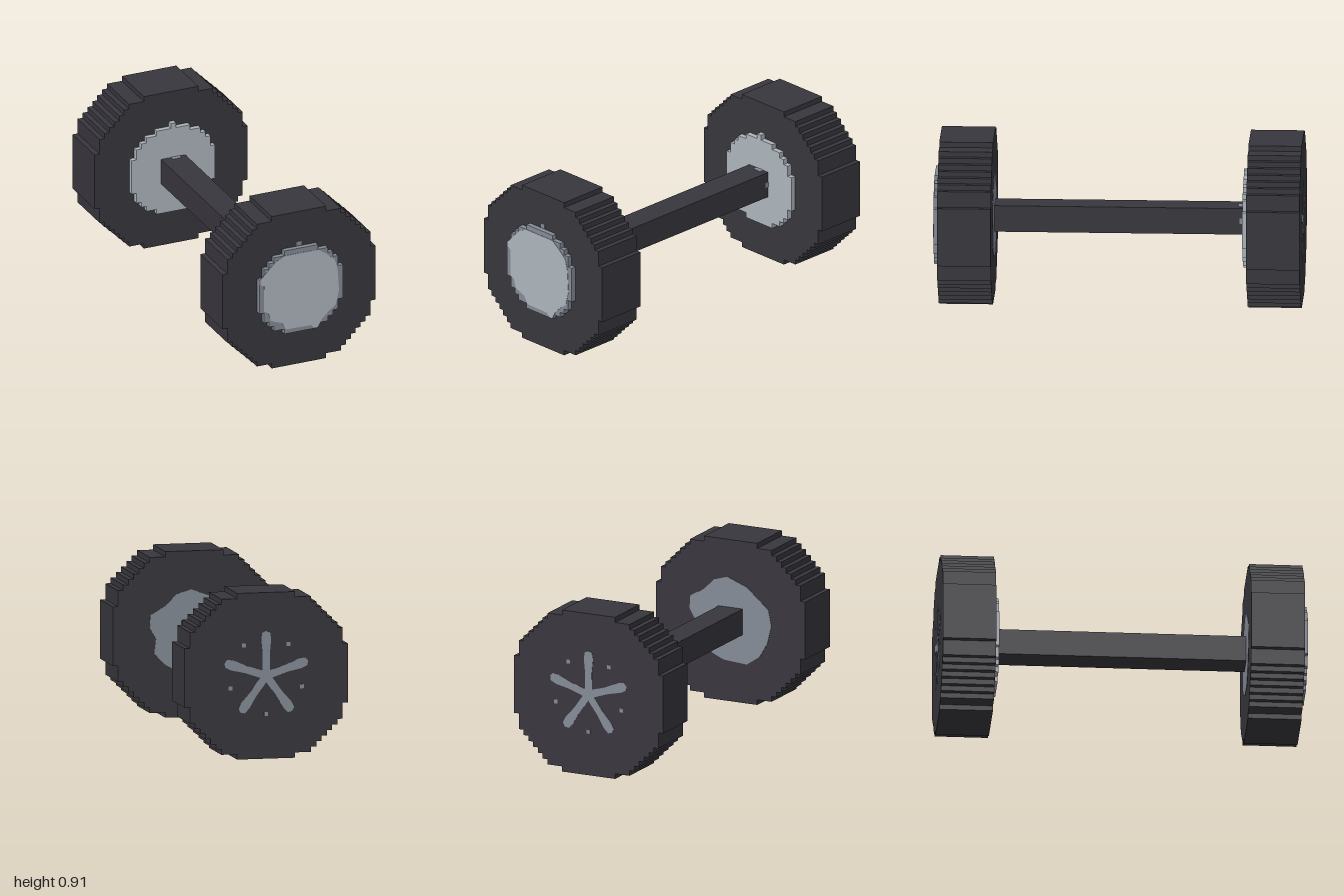
import * as THREE from 'three';

const mat = (name, color, extra = {}) => {
  const m = new THREE.MeshStandardMaterial({ color, ...extra });
  m.name = name;
  return m;
};

// Half-width / half-height pairs of stepped discs, from the top down to the side
const TYRE_STEPS = [[0.162, 0.455], [0.25, 0.426], [0.28, 0.397], [0.309, 0.368], [0.338, 0.338],
  [0.368, 0.309], [0.397, 0.28], [0.426, 0.25], [0.455, 0.162]];
const HUB_STEPS = [[0.1, 0.249], [0.16, 0.22], [0.19, 0.19], [0.22, 0.16], [0.249, 0.1]];

// Blocky round outline made from one quadrant mirrored four ways
function steppedShape(steps) {
  const q = [];
  steps.forEach(([x, y], i) => {
    q.push([x, y]);
    if (i < steps.length - 1) q.push([x, steps[i + 1][1]]);
  });
  const r = [...q].reverse();
  const pts = [
    ...q,
    ...r.map(([x, y]) => [x, -y]),
    ...q.map(([x, y]) => [-x, -y]),
    ...r.map(([x, y]) => [-x, y]),
  ];
  return new THREE.Shape(pts.map(([x, y]) => new THREE.Vector2(x, y)));
}

const polygon = (pts) => new THREE.Shape(pts.map(([x, y]) => new THREE.Vector2(x, y)));

export function createModel() {
  const rubber = mat('dark rubber', 0x38363d);
  const silver = mat('light silver', 0xadb5bd);
  const steel = mat('grey steel', 0x858c97);

  const model = new THREE.Group();
  model.name = 'wheelsAndAxle';
  const CY = 0.456;

  // Adds a flat part lying between z0 and z1, centred on the axle height
  function slab(name, shape, z0, z1, material, parent = model) {
    const g = new THREE.ExtrudeGeometry(shape, { depth: z1 - z0, bevelEnabled: false });
    const m = new THREE.Mesh(g, material);
    m.name = name;
    m.position.set(0, CY, z0);
    parent.add(m);
    return m;
  }
  function box(name, w, h, d, x, y, z, material, parent = model) {
    const m = new THREE.Mesh(new THREE.BoxGeometry(w, h, d), material);
    m.name = name;
    m.position.set(x, y, z);
    parent.add(m);
    return m;
  }

  // Tyres and raised hubs
  const tyre = steppedShape(TYRE_STEPS);
  const hub = steppedShape(HUB_STEPS);
  slab('frontTyre', tyre, 0.678, 0.97, rubber);
  slab('backTyre', tyre, -0.998, -0.708, rubber);
  slab('frontHub', hub, 0.965, 0.998, steel);
  slab('backHub', hub, -0.712, -0.678, silver);
  box('backHubTab', 0.03, 0.03, 0.03, 0, 0.719, -0.693, silver);

  // Axle
  box('axle', 0.146, 0.146, 1.37, -0.002, 0.458, 0, rubber);
  box('axleTopMark', 0.05, 0.004, 0.028, 0.01, 0.531, -0.665, steel);
  box('axleSideMark', 0.004, 0.03, 0.022, 0.071, 0.46, -0.668, steel);

  // Silver face of the front hub, with its worn edge
  slab('frontHubFace', polygon([
    [-0.1, 0.22], [0.1, 0.22], [0.15, 0.185], [0.2, 0.14], [0.217, 0.08], [0.225, -0.05],
    [0.205, -0.13], [0.16, -0.165], [0.125, -0.2], [0.1, -0.247], [0.08, -0.247], [0.06, -0.225],
    [-0.09, -0.222], [-0.115, -0.18], [-0.18, -0.155], [-0.195, -0.105], [-0.222, -0.09],
    [-0.22, 0.06], [-0.247, 0.075], [-0.247, 0.1], [-0.2, 0.145], [-0.15, 0.195],
  ]), 0.997, 1.0, silver);
  box('frontTyreMark', 0.028, 0.024, 0.004, 0, 0.72, 0.97, steel);

  // Rough steel patch on the inner side of the front tyre
  slab('innerPatch', polygon([
    [-0.1, 0.2], [0.02, 0.245], [0.1, 0.22], [0.16, 0.16], [0.245, 0.11], [0.25, 0.04],
    [0.215, -0.02], [0.225, -0.1], [0.17, -0.16], [0.1, -0.2], [0.04, -0.225], [-0.1, -0.235],
    [-0.18, -0.18], [-0.225, -0.1], [-0.25, 0], [-0.23, 0.09], [-0.17, 0.14],
  ]), 0.675, 0.68, steel);

  // Five-spoke star with small studs on the outer side of the back tyre
  const star = new THREE.Group();
  star.name = 'spokeStar';
  star.position.set(0, CY, -0.998);
  model.add(star);
  const spoke = polygon([[-0.022, 0], [0.022, 0], [0.02, 0.12], [0.028, 0.2], [0.022, 0.235],
    [0, 0.245], [-0.022, 0.235], [-0.028, 0.2], [-0.02, 0.12]]);
  for (let i = 0; i < 5; i++) {
    const a = (i * Math.PI * 2) / 5;
    const s = slab('spoke', spoke, -0.002, 0.002, steel, star);
    s.position.y = 0;
    s.rotation.z = a;
    const b = a + Math.PI / 5;
    box('stud', 0.022, 0.022, 0.004, -Math.sin(b) * 0.21, Math.cos(b) * 0.21, 0, steel, star);
  }
  return model;
}
